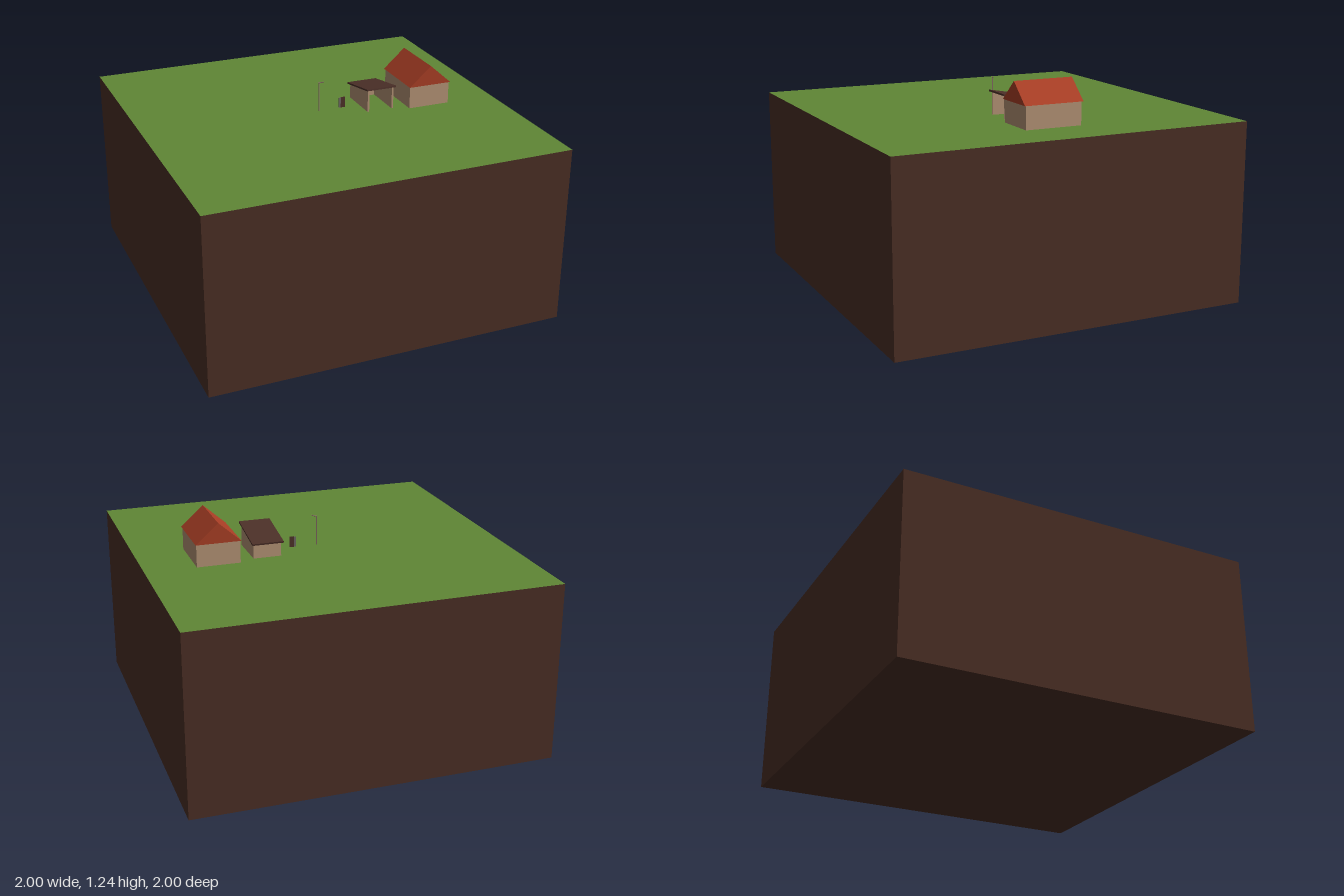
import * as THREE from 'three';

const mat = (name, color, side = THREE.FrontSide) => {
  const m = new THREE.MeshStandardMaterial({ color, side });
  m.name = name;
  return m;
};

export function createModel() {
  const root = new THREE.Group();
  const grass = mat('grass', 0x5f8735);
  const soil = mat('soil', 0x4a2e24);
  const plaster = mat('plaster', 0xb29174);
  const tile = mat('red tile', 0xa83e25);
  const timber = mat('dark timber', 0x4c3028);
  const stone = mat('grey board', 0x6b6460);
  const metal = mat('lamp metal', 0x8c706a);

  const add = (parent, name, geometry, material, x = 0, y = 0, z = 0) => {
    const mesh = new THREE.Mesh(geometry, material);
    mesh.name = name;
    mesh.position.set(x, y, z);
    parent.add(mesh);
    return mesh;
  };
  const group = (name, x, y, z) => {
    const g = new THREE.Group();
    g.name = name;
    g.position.set(x, y, z);
    root.add(g);
    return g;
  };
  const box = (w, h, d) => new THREE.BoxGeometry(w, h, d);
  // Extrude a polygon along z, centred on z = 0
  const prism = (points, depth) => {
    const shape = new THREE.Shape(points.map(([x, y]) => new THREE.Vector2(x, y)));
    return new THREE.ExtrudeGeometry(shape, { depth, bevelEnabled: false })
      .translate(0, 0, -depth / 2);
  };

  // Block of earth with a grass top face
  add(root, 'ground', box(2, 1, 2), [soil, soil, grass, soil, soil, soil], 0, 0.5, 0);

  // House with a gabled roof
  const house = group('house', 0.6, 1, 0);
  add(house, 'houseWalls', box(0.24, 0.126, 0.32), plaster, 0, 0.063, 0);
  add(house, 'houseRoof', prism([[-0.125, 0.125], [0.125, 0.125], [0, 0.236]], 0.338), tile);

  // Open-fronted shed: back wall, two side walls, lean-to roof high at the front
  const shed = group('shed', 0.32, 1, 0);
  const side = [[-0.12, 0], [0.12, 0], [0.12, 0.124], [-0.12, 0.081]];
  for (const s of [-1, 1]) {
    const wall = add(shed, s > 0 ? 'shedLeftWall' : 'shedRightWall',
      prism(side, 0.01), plaster, s * 0.073, 0, 0);
    wall.rotation.y = -Math.PI / 2;
  }
  add(shed, 'shedBackWall', box(0.146, 0.081, 0.01), plaster, 0, 0.0405, -0.115);
  const roof = add(shed, 'shedRoof', box(0.175, 0.009, 0.275), timber, 0, 0.107, -0.003);
  roof.rotation.x = -Math.atan2(0.043, 0.24);

  // Thin upright board beside the shed
  const board = group('board', 0.138, 1, 0);
  add(board, 'boardEdge', box(0.012, 0.058, 0.004), stone, -0.013, 0.029, 0);
  add(board, 'boardPanel', box(0.026, 0.06, 0.004), timber, 0.006, 0.03, 0);

  // Slim lamp post with a short slanting arm
  const lamp = group('lampPost', 0, 1, 0);
  add(lamp, 'lampPole', new THREE.CylinderGeometry(0.003, 0.003, 0.165, 8), metal, 0, 0.0825, 0);
  const arm = new THREE.LineCurve3(new THREE.Vector3(-0.002, 0.162, -0.004),
    new THREE.Vector3(0.026, 0.169, 0.01));
  add(lamp, 'lampArm', new THREE.TubeGeometry(arm, 1, 0.003, 6), metal);

  return root;
}
